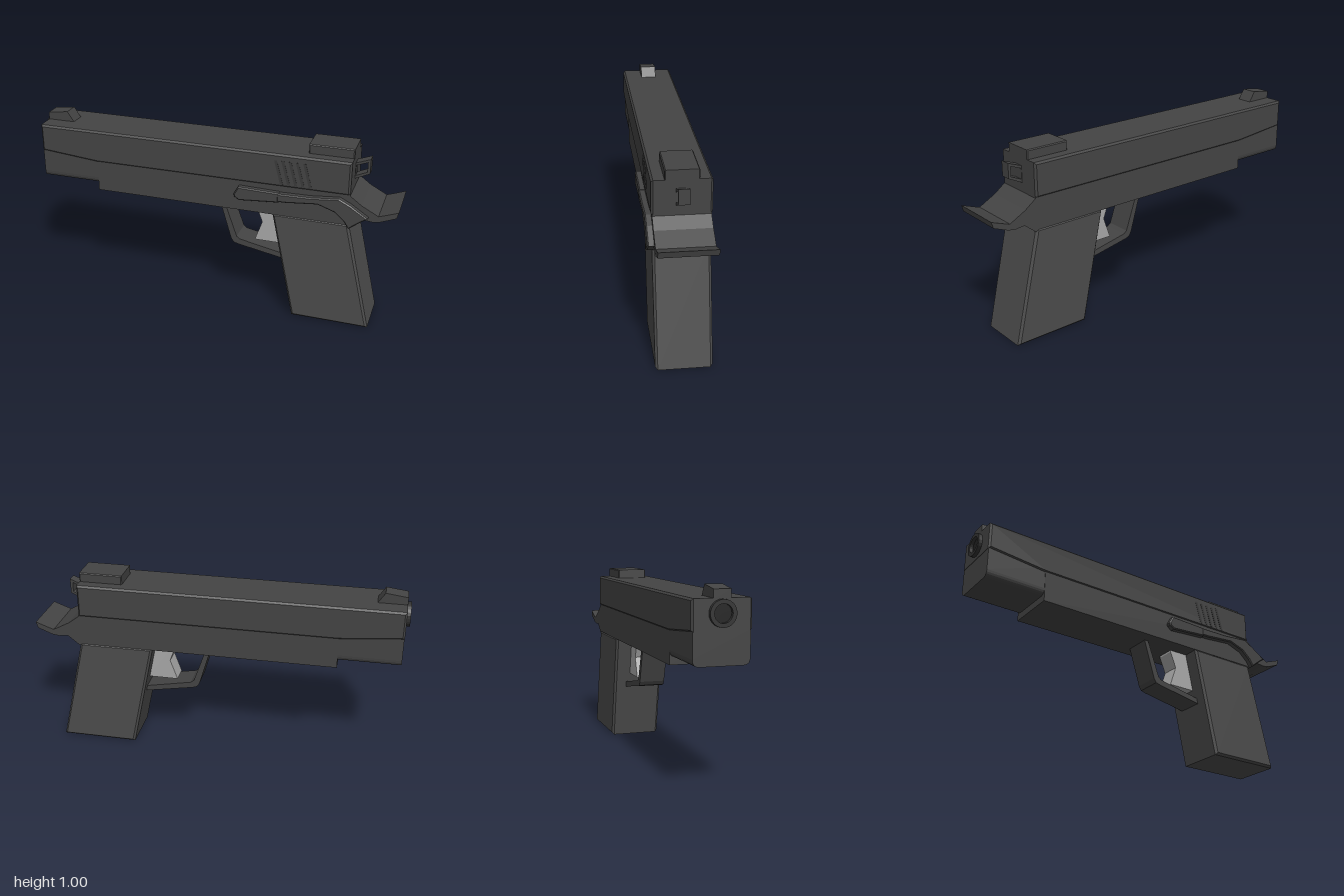
import * as THREE from 'three';

const paint = (color) => new THREE.MeshStandardMaterial({ color });
const MID = -0.013; // centre plane of the body in z

export function createModel() {
  const group = new THREE.Group();
  const steel = paint(0x444444);
  const gripGrey = paint(0x4c4c4c);
  const black = paint(0x222222);
  const silver = paint(0xa8a8a8);

  const add = (name, geometry, material = steel) => {
    const mesh = new THREE.Mesh(geometry, material);
    mesh.name = name;
    group.add(mesh);
    return mesh;
  };
  const outline = (points) => new THREE.Shape(points.map(([x, y]) => new THREE.Vector2(x, y)));

  // Side profile (x, y) given thickness from z0 to z1, with chamfered edges
  const plate = (points, z0, z1, bevel = 0, hole = null) => {
    const shape = outline(points);
    if (hole) shape.holes.push(outline(hole));
    const geometry = new THREE.ExtrudeGeometry(shape, {
      depth: z1 - z0 - 2 * bevel, bevelEnabled: bevel > 0, bevelThickness: bevel,
      bevelSize: bevel, bevelOffset: -bevel, bevelSegments: 1,
    });
    return geometry.translate(0, 0, z0 + bevel);
  };

  // Slide, its underside rising towards the muzzle
  add('slide', plate([[-0.98, 0.945], [-0.98, 0.795], [-0.65, 0.765], [0.75, 0.765], [0.75, 0.945]],
    -0.158, 0.133, 0.01));

  // Frame
  add('frame', plate([[-0.65, 0.6], [0.75, 0.6], [0.75, 0.775], [-0.65, 0.775]], -0.152, 0.128));

  // Dust cover, a rounded section run along x
  const section = new THREE.Shape();
  const w = 0.139, r = 0.035, low = 0.638;
  section.moveTo(-w, 0.8);
  section.lineTo(-w, low + r);
  section.quadraticCurveTo(-w, low, -w + r, low);
  section.lineTo(w - r, low);
  section.quadraticCurveTo(w, low, w, low + r);
  section.lineTo(w, 0.8);
  add('dustCover', new THREE.ExtrudeGeometry(section, { depth: 0.34, bevelEnabled: false, curveSegments: 5 })
    .rotateY(Math.PI / 2).translate(-0.978, 0, MID));

  // Barrel end with an open bore
  const barrel = [[0.044, 0], [0.044, 0.02], [0.064, 0.02], [0.064, -0.02]]
    .map(([x, y]) => new THREE.Vector2(x, y)).reverse();
  const muzzle = new THREE.LatheGeometry(barrel, 24).toNonIndexed();
  muzzle.computeVertexNormals();
  const ring = add('barrel', muzzle.rotateZ(Math.PI / 2).translate(-0.98, 0.877, MID),
    new THREE.MeshStandardMaterial({ color: 0x333333, side: THREE.DoubleSide }));
  ring.material.flatShading = true;
  add('bore', new THREE.CircleGeometry(0.046, 24).rotateY(-Math.PI / 2).translate(-0.982, 0.877, MID), black);

  // Sights
  add('frontSight', plate([[-0.98, 0.94], [-0.825, 0.94], [-0.865, 1], [-0.98, 0.985]], -0.056, 0.03));
  add('rearSight', plate([[0.515, 0.94], [0.75, 0.94], [0.75, 0.994], [0.515, 0.994]], -0.095, 0.07, 0.005));

  // Slanted grip serrations on the slide
  for (let i = 0; i < 5; i++) {
    const x = 0.35 + i * 0.038;
    add('serration' + (i + 1),
      plate([[x, 0.91], [x + 0.035, 0.78], [x + 0.05, 0.78], [x + 0.015, 0.91]], 0.13, 0.1345), paint(0x3a3a3a));
  }

  // Hammer loop
  add('hammer', plate([[0.72, 0.8], [0.745, 0.812], [0.825, 0.85], [0.825, 0.93], [0.745, 0.9], [0.72, 0.89]],
    -0.04, 0.016, 0, [[0.752, 0.832], [0.811, 0.858], [0.811, 0.911], [0.752, 0.888]]));

  // Beavertail
  add('beavertail', plate([[0.74, 0.765], [0.75, 0.765], [0.81, 0.72], [0.9, 0.672], [0.93, 0.682], [1, 0.708],
    [0.99, 0.674], [0.91, 0.642], [0.87, 0.636], [0.82, 0.642], [0.755, 0.59], [0.74, 0.6]], -0.152, 0.128));

  // Raked grip
  add('grip', plate([[0.345, 0.605], [0.75, 0.605], [0.89, 0], [0.47, 0]], -0.154, 0.129, 0.012), gripGrey);

  // Trigger and its guard
  add('triggerGuard', plate([[0.035, 0.605], [0.1, 0.385], [0.115, 0.362], [0.14, 0.354], [0.42, 0.303],
    [0.42, 0.333], [0.15, 0.386], [0.132, 0.4], [0.06, 0.605]], -0.084, 0.058));
  add('trigger', plate([[0.235, 0.61], [0.235, 0.59], [0.27, 0.5], [0.23, 0.388], [0.4, 0.388], [0.36, 0.61]],
    -0.063, 0.037), silver);

  // Slide stop and safety lever on the left-hand face
  add('slideStop', plate([[0.14, 0.7], [0.165, 0.744], [0.385, 0.738], [0.385, 0.685], [0.17, 0.668], [0.145, 0.685]],
    0.12, 0.158, 0.006));
  add('safetyLever', plate([[0.375, 0.735], [0.55, 0.738], [0.7, 0.752], [0.76, 0.722], [0.85, 0.662], [0.82, 0.642],
    [0.755, 0.592], [0.73, 0.63], [0.68, 0.675], [0.59, 0.706], [0.42, 0.69], [0.375, 0.69]], 0.12, 0.16, 0.006));

  return group;
}
